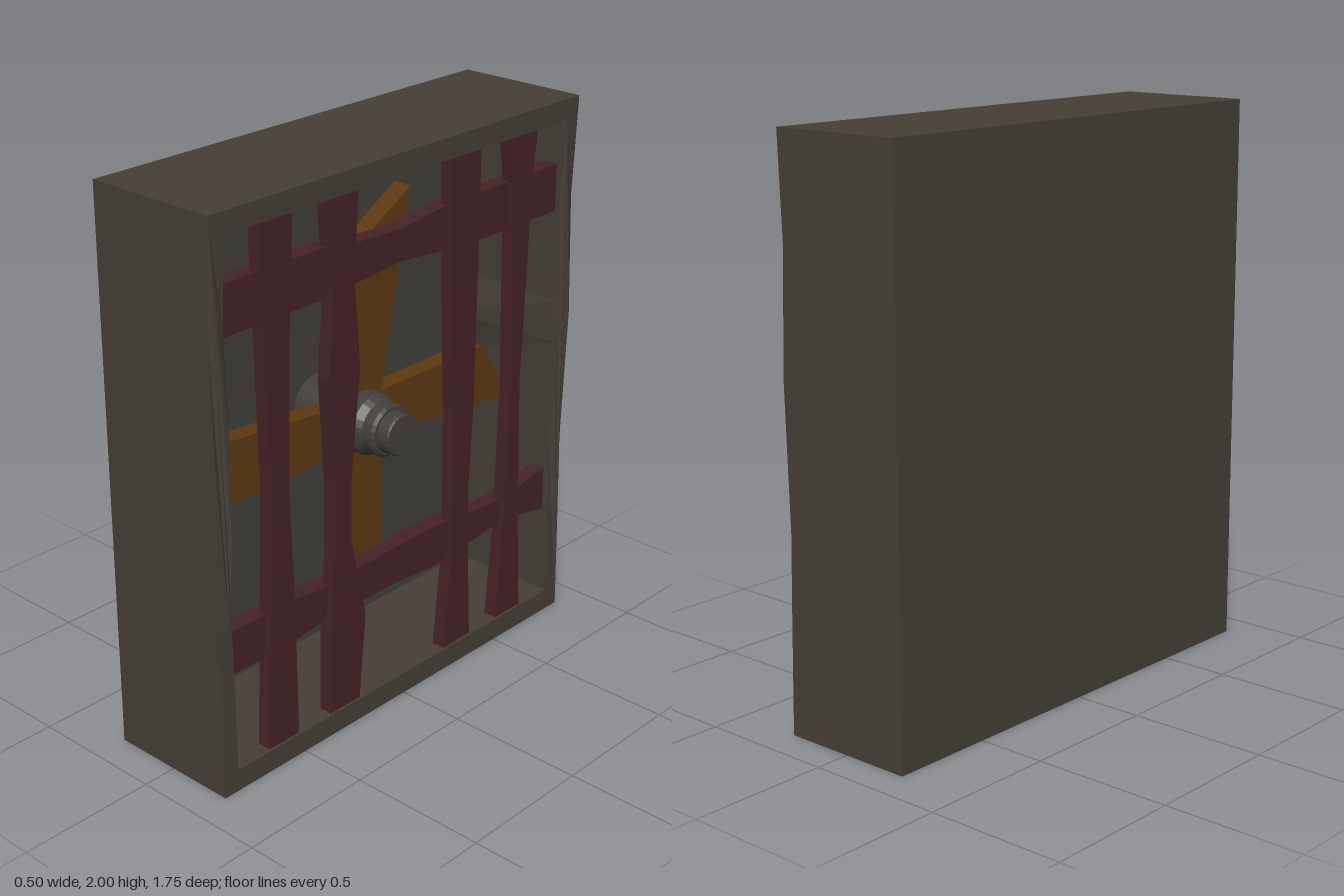
import * as THREE from 'three';

const mat = (name, color) => {
  const m = new THREE.MeshStandardMaterial({ color });
  m.name = name;
  return m;
};

export function createModel() {
  const group = new THREE.Group();
  const casingMat = mat('casing brown grey', 0x443e36);
  const linerMat = mat('inner grey', 0x423f3a);
  const barMat = mat('bar dark red', 0x452226);
  const bladeMat = mat('blade ochre', 0x5c3810);

  const add = (name, geo, material) => {
    const mesh = new THREE.Mesh(geo, material);
    mesh.name = name;
    group.add(mesh);
    return mesh;
  };
  const toVec = pts => pts.map(([z, y]) => new THREE.Vector2(-z, y));
  // Extrudes a (z, y) outline along x, from x0 to x1
  const slab = (pts, x0, x1, hole) => {
    const shape = new THREE.Shape(toVec(pts));
    if (hole) shape.holes.push(new THREE.Path(toVec(hole)));
    const geo = new THREE.ExtrudeGeometry(shape, { depth: x1 - x0, bevelEnabled: false });
    return geo.rotateY(Math.PI / 2).translate(x0, 0, 0);
  };

  // Casing: open frame with a slightly dented rim and bumps deep in its inner walls
  const B = -0.25, F = 0.25, Z = 0.875;
  const outerY = [0, 0.4, 0.7, 1.2, 1.64, 2];
  const outer = [...outerY.map(y => [-Z, y]), ...[...outerY].reverse().map(y => [Z, y])];
  const innerY = [0.08, 0.4, 0.7, 0.94, 1.1, 1.26, 1.64, 1.925];
  const inner = [...innerY.map(y => [-0.812, y]), [-0.24, 1.925], [-0.08, 1.925], [0.22, 1.925],
    ...[...innerY].reverse().map(y => [0.812, y])];
  const frame = slab(outer, B, F, inner);
  const p = frame.attributes.position;
  const near = (a, b) => Math.abs(a - b) < 0.005;
  for (let i = 0; i < p.count; i++) {
    const y = p.getY(i), z = p.getZ(i);
    if (p.getX(i) > 0) {
      const dent = near(y, 1.64) || near(y, 0.7) ? 0.015 : near(y, 0.4) ? 0.008 : 0;
      p.setX(i, F - dent);
    } else if (Math.abs(z) < 0.85) {
      if (near(y, 1.1)) p.setZ(i, z * 0.955);
      if (near(z, -0.08)) p.setY(i, 1.9);
    }
  }
  frame.computeVertexNormals();
  add('casing', frame, casingMat);
  add('casingBack', new THREE.BoxGeometry(0.05, 1.86, 1.64).translate(-0.225, 1.0025, 0), casingMat);
  add('innerBackPanel', new THREE.BoxGeometry(0.03, 1.85, 1.63).translate(-0.185, 1.0025, 0), linerMat);

  // Vertical bars: rows of [y, z of one edge, z of the other edge]
  const verticals = [
    [[1.925, 0.66, 0.52], [1.5, 0.645, 0.54], [1, 0.63, 0.55], [0.58, 0.645, 0.53], [0.08, 0.66, 0.52]],
    [[1.925, 0.365, 0.23], [1.63, 0.34, 0.245], [1.32, 0.365, 0.22], [0.95, 0.34, 0.26],
      [0.7, 0.34, 0.26], [0.4, 0.36, 0.19], [0.08, 0.365, 0.22]],
    [[1.925, -0.22, -0.365], [1.5, -0.23, -0.365], [1, -0.255, -0.36], [0.7, -0.26, -0.345],
      [0.45, -0.26, -0.35], [0.08, -0.225, -0.37]],
    [[1.925, -0.52, -0.665], [1.76, -0.545, -0.645], [1, -0.565, -0.615], [0.45, -0.55, -0.635],
      [0.08, -0.52, -0.66]],
  ];
  verticals.forEach((rows, i) => {
    const pts = [...rows.map(r => [r[1], r[0]]), ...[...rows].reverse().map(r => [r[2], r[0]])];
    add('verticalBar' + (i + 1), slab(pts, 0.19, 0.24), barMat);
  });

  // Horizontal bars: rows of [z, top y, bottom y]
  const horizontals = [
    [[0.812, 1.76, 1.59], [0.36, 1.76, 1.59], [0.24, 1.74, 1.6], [0, 1.73, 1.62],
      [-0.22, 1.755, 1.6], [-0.36, 1.76, 1.59], [-0.812, 1.76, 1.59]],
    [[0.812, 0.58, 0.42], [0.52, 0.58, 0.42], [0.37, 0.565, 0.44], [0, 0.578, 0.435],
      [-0.2, 0.58, 0.42], [-0.5, 0.55, 0.45], [-0.65, 0.56, 0.445], [-0.812, 0.585, 0.42]],
  ];
  horizontals.forEach((rows, i) => {
    const pts = [...rows.map(r => [r[0], r[1]]), ...[...rows].reverse().map(r => [r[0], r[2]])];
    add('horizontalBar' + (i + 1), slab(pts, 0.155, 0.215), barMat);
  });

  // Fan blades
  const blades = {
    frontBlade: [[0.78, 1.152], [0, 1.08], [0, 0.92], [0.63, 0.91]],
    rearBlade: [[0, 1.085], [-0.635, 1.085], [-0.8, 0.845], [0, 0.92]],
    upperBlade: [[0.08, 1], [0.015, 1.645], [-0.23, 1.785], [-0.08, 1]],
    lowerBlade: [[0.075, 1], [0.1, 0.55], [0.135, 0.205], [-0.1, 0.365], [-0.09, 1]],
  };
  for (const [name, pts] of Object.entries(blades)) add(name, slab(pts, -0.02, 0.05), bladeMat);

  // Hub: stepped shaft from the back panel to the front
  const profile = [[0.11, -0.18], [0.11, 0.1], [0.095, 0.13], [0.095, 0.17], [0.085, 0.18],
    [0.075, 0.18], [0.075, 0.225], [0.07, 0.23], [0, 0.23]];
  const hub = new THREE.LatheGeometry(profile.map(q => new THREE.Vector2(...q)), 24).toNonIndexed();
  hub.computeVertexNormals();
  hub.rotateZ(-Math.PI / 2).translate(0, 1.003, 0);
  add('hub', hub, linerMat);

  return group;
}
